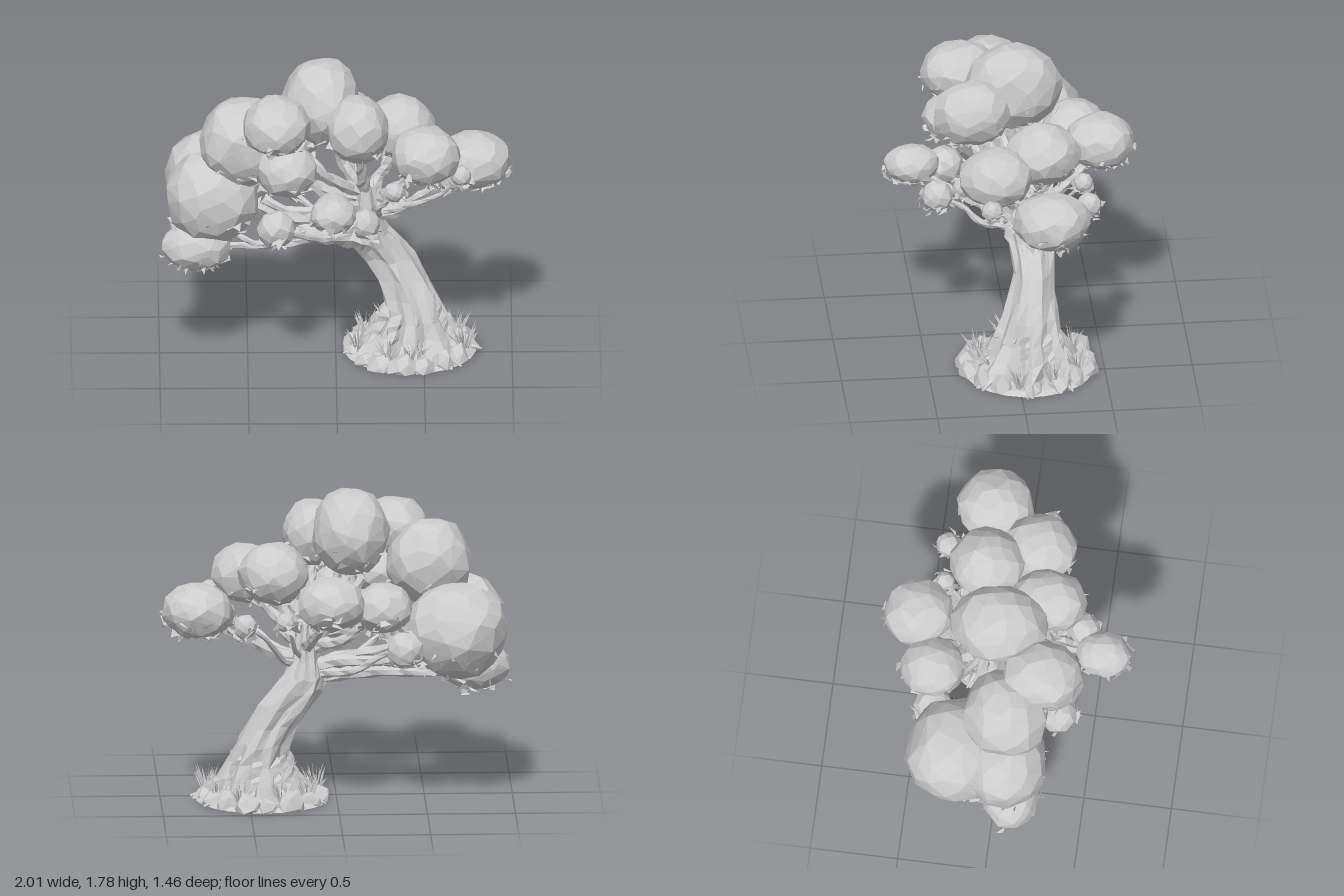
import * as THREE from 'three';
import { ConvexGeometry } from 'three/addons/geometries/ConvexGeometry.js';

const clay = new THREE.MeshStandardMaterial({ color: 0xcccccc, flatShading: true, side: THREE.DoubleSide });
clay.name = 'pale grey';

let seed = 7;
const rnd = () => (seed = (seed * 16807) % 2147483647) / 2147483647;
const jit = a => (rnd() * 2 - 1) * a;
const V = (x, y, z) => new THREE.Vector3(x, y, z);

function add(parent, name, geometry) {
  const m = new THREE.Mesh(geometry, clay);
  m.name = name;
  parent.add(m);
  return m;
}

function group(parent, name) {
  const g = new THREE.Group();
  g.name = name;
  parent.add(g);
  return g;
}

function fromTriangles(points) {
  const g = new THREE.BufferGeometry().setFromPoints(points);
  g.computeVertexNormals();
  return g;
}

// Faceted convex lump from evenly spread, jittered points
function lump(rx, ry, rz, n, rough) {
  const pts = [];
  for (let i = 0; i < n; i++) {
    const y = 1 - (2 * i + 1) / n, a = i * 2.39996 + jit(0.2);
    const r = Math.sqrt(1 - y * y), k = 1.01 + jit(rough);
    pts.push(V(Math.cos(a) * r * rx * k, y * ry * k, Math.sin(a) * r * rz * k));
  }
  return new ConvexGeometry(pts);
}

// Ragged leaves on the underside of a clump
function leaves(rx, ry, rz, n) {
  const pts = [];
  for (let i = 0; i < n; i++) {
    const y = -0.25 - 0.7 * rnd(), a = rnd() * 6.283, r = Math.sqrt(1 - y * y);
    const c = V(Math.cos(a) * r * rx, y * ry, Math.sin(a) * r * rz).multiplyScalar(0.97);
    for (let k = 0; k < 3; k++) pts.push(c.clone().add(V(jit(0.045), jit(0.04), jit(0.045))));
  }
  return fromTriangles(pts);
}

// Tapered crooked limb along a curve through the given vectors
function limb(points, r0, r1, sides = 6) {
  const curve = new THREE.CatmullRomCurve3(points);
  const n = points.length * 3;
  const g = new THREE.TubeGeometry(curve, n, 1, sides);
  const p = g.attributes.position, v = V();
  for (let i = 0; i <= n; i++) {
    const c = curve.getPointAt(i / n), r = r0 + (r1 - r0) * (i / n);
    for (let j = 0; j <= sides; j++) {
      const k = i * (sides + 1) + j;
      v.fromBufferAttribute(p, k).sub(c).multiplyScalar(r * (1 + 0.18 * Math.sin(i * 2.1 + (j % sides) * 2.7))).add(c);
      p.setXYZ(k, v.x, v.y, v.z);
    }
  }
  g.computeVertexNormals();
  return g;
}

// Branch from the trunk to a clump: runs outward low, then climbs into the foliage
function branchTo(end, r0) {
  const h = THREE.MathUtils.clamp(0.62 + (end.y - 0.72) * 0.5, 0.7, 0.96);
  const start = V(0.18, h, -0.07), pts = [start];
  for (const t of [0.25, 0.5, 0.75]) {
    const p = start.clone().lerp(end, t);
    p.y = h + (end.y - h) * Math.pow(t, 1.6);
    pts.push(p.add(V(jit(0.025), jit(0.025), jit(0.025))));
  }
  return limb([...pts, end], r0, r0 * 0.35);
}

// Trunk lofted through horizontal sections, with twisting ridges and flared roots
function trunkGeometry() {
  // y, centre x, centre z, radius x, radius z, ridge depth
  const rows = [
    [0, 0.43, -0.06, 0.33, 0.32, 0.24], [0.05, 0.44, -0.06, 0.27, 0.26, 0.22], [0.12, 0.45, -0.07, 0.21, 0.22, 0.18],
    [0.22, 0.45, -0.07, 0.165, 0.18, 0.14], [0.33, 0.42, -0.09, 0.145, 0.15, 0.12], [0.44, 0.37, -0.1, 0.14, 0.125, 0.12],
    [0.55, 0.3, -0.115, 0.145, 0.11, 0.1], [0.64, 0.23, -0.11, 0.14, 0.115, 0.1], [0.72, 0.19, -0.1, 0.11, 0.12, 0.1],
    [0.82, 0.18, -0.07, 0.075, 0.115, 0.12], [0.92, 0.18, -0.06, 0.065, 0.11, 0.15], [1.02, 0.17, -0.06, 0.045, 0.08, 0.1]];
  const N = 20, pos = [], idx = [];
  rows.forEach(([y, cx, cz, rx, rz, d], i) => {
    for (let j = 0; j < N; j++) {
      const a = j / N * Math.PI * 2;
      const k = 1 + d * Math.cos(7 * a + y * 4) + jit(0.05);
      pos.push(cx + Math.cos(a) * rx * k, y + (i ? jit(0.015) : 0), cz + Math.sin(a) * rz * k);
      if (i) {
        const b = (i - 1) * N + j, c = (i - 1) * N + (j + 1) % N;
        idx.push(b, b + N, c, c, b + N, c + N);
      }
    }
  });
  const g = new THREE.BufferGeometry();
  g.setAttribute('position', new THREE.Float32BufferAttribute(pos, 3));
  g.setIndex(idx);
  g.computeVertexNormals();
  return g;
}

// Tuft of thin pointed blades
function tuft(n) {
  const pts = [];
  for (let i = 0; i < n; i++) {
    const a = rnd() * 6.283, s = 0.035 * rnd(), lean = 0.02 + 0.06 * rnd(), h = 0.08 + 0.07 * rnd();
    const c = Math.cos(a), d = Math.sin(a), w = 0.006;
    const l = V(c * s - d * w, 0, d * s + c * w), r = V(c * s + d * w, 0, d * s - c * w);
    const m = V(c * (s + lean * 0.4), h * 0.6, d * (s + lean * 0.4)), t = V(c * (s + lean), h, d * (s + lean));
    pts.push(l, r, m, l, m, t, r, t, m);
  }
  return fromTriangles(pts);
}

export function createModel() {
  const tree = new THREE.Group();
  tree.name = 'tree';
  add(tree, 'trunk', trunkGeometry());

  // Foliage clumps, each carried by its own branch
  const crown = group(tree, 'crown');
  const branches = group(tree, 'branches');
  const clump = (x, y, z, rx, ry, rz, points, leafCount, branchRadius) => {
    add(crown, 'foliageClump', lump(rx, ry, rz, points, 0.045)).position.set(x, y, z);
    add(crown, 'undersideLeaves', leaves(rx, ry, rz, leafCount)).position.set(x, y, z);
    add(branches, 'branch', branchTo(V(x, y, z), branchRadius));
  };
  // Large clumps: centre, radii
  [
    [-0.08, 1.54, -0.04, 0.22, 0.25, 0.275], [-0.34, 1.51, 0.24, 0.195, 0.165, 0.225],
    [0.12, 1.48, 0.22, 0.175, 0.19, 0.22], [0.51, 1.27, 0.12, 0.195, 0.165, 0.21],
    [0.79, 1.12, -0.17, 0.205, 0.155, 0.22], [0.36, 1.33, -0.16, 0.2, 0.175, 0.21],
    [0.05, 1.23, -0.515, 0.195, 0.155, 0.195], [-0.25, 1.18, -0.4, 0.17, 0.14, 0.18],
    [-0.53, 1.34, 0.06, 0.245, 0.255, 0.245], [-0.67, 1, -0.22, 0.3, 0.27, 0.28],
    [-0.7, 1, 0.07, 0.27, 0.27, 0.24], [-0.79, 0.72, 0.12, 0.2, 0.14, 0.16],
    [-0.28, 1.25, 0.26, 0.175, 0.15, 0.2], [-0.02, 1.1, 0.55, 0.13, 0.11, 0.155]
  ].forEach(c => clump(...c, 85, 45, 0.042));
  // Small clumps: centre, radius
  [
    [-0.34, 0.91, 0.33, 0.11], [0.16, 0.98, 0.42, 0.09], [-0.38, 0.93, -0.38, 0.11], [0.64, 1.07, -0.02, 0.07],
    [0.53, 1.08, -0.41, 0.07], [0.3, 1.1, -0.4, 0.055], [0.71, 1.16, 0.16, 0.06], [0.33, 1.12, 0.29, 0.06]
  ].forEach(([x, y, z, r]) => clump(x, y, z, r, r, r, 40, 25, 0.01 + r * 0.2));
  // Heavy low limb and its thin drooping end
  add(branches, 'lowLimb', limb([V(0.27, 0.62, -0.1), V(0.12, 0.7, -0.04), V(-0.05, 0.74, 0.02), V(-0.22, 0.78, 0.05)], 0.09, 0.035));
  add(branches, 'lowTwig', limb([V(-0.18, 0.77, 0.05), V(-0.32, 0.74, 0.1), V(-0.42, 0.72, 0.12), V(-0.6, 0.8, 0.1)], 0.03, 0.012));

  // Ground: flat base, roots, rocks and grass
  const ground = group(tree, 'ground');
  const base = new THREE.CylinderGeometry(0.35, 0.38, 0.02, 22);
  add(ground, 'flatBase', base).position.set(0.42, 0.01, -0.07);
  for (let i = 0; i < 9; i++) {
    const a = i / 9 * 6.283 + 0.1;
    const at = (r, y) => V(0.43 + Math.cos(a) * r, y, -0.07 + Math.sin(a) * r);
    add(ground, 'root', limb([at(0.12, 0.25), at(0.21, 0.1), at(0.31, 0.035), at(0.4, 0.008)], 0.06, 0.006, 5));
  }
  for (let i = 0; i < 15; i++) {
    const a = i / 15 * 6.283 + jit(0.12), r = 0.045 + 0.03 * rnd(), h = 0.06 + 0.055 * rnd();
    const rock = lump(r * 1.25, h, r * 1.1, 18, 0.12);
    const p = rock.attributes.position;
    for (let k = 0; k < p.count; k++) p.setY(k, Math.max(0, p.getY(k)));
    rock.computeVertexNormals();
    add(ground, 'rock', rock).position.set(0.42 + Math.cos(a) * 0.31, 0, -0.07 + Math.sin(a) * 0.34);
  }
  [[0.12, 0.02], [0.17, -0.2], [0.3, 0.2], [0.42, 0.2], [0.48, 0.15], [0.73, 0], [0.68, -0.2], [0.55, -0.34], [0.32, -0.33]]
    .forEach(([x, z]) => add(ground, 'grassTuft', tuft(26)).position.set(x, 0.03, z));
  return tree;
}
